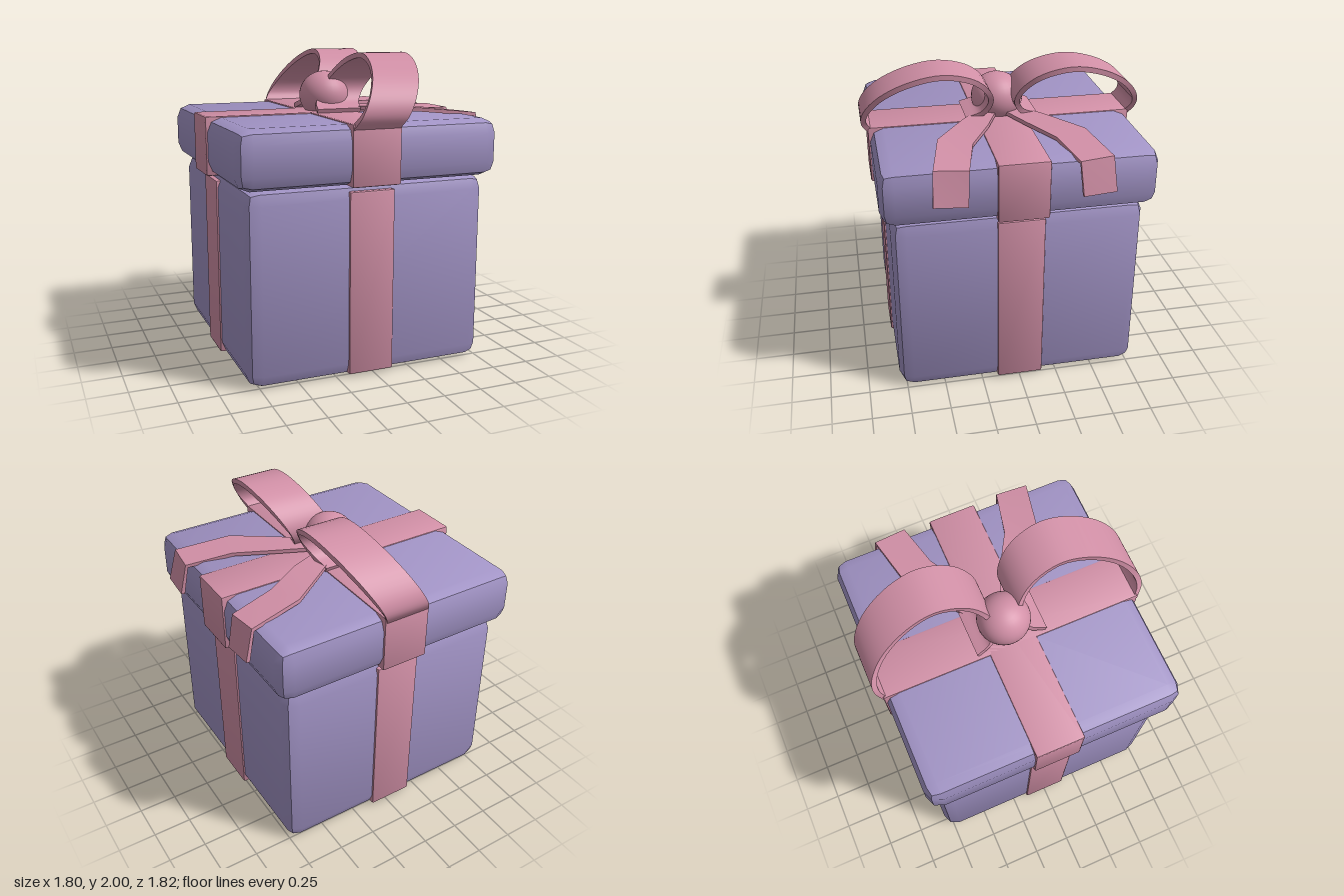
import * as THREE from 'three';
import { RoundedBoxGeometry } from 'three/addons/geometries/RoundedBoxGeometry.js';
import { toCreasedNormals } from 'three/addons/utils/BufferGeometryUtils.js';

const CX = -0.03; // centre of the box in x

// Solid strip through pairs of edge points [left, right]
function strip(pairs, thickness) {
  const pos = [], idx = [];
  const mid = pairs.map(([l, r]) => l.clone().add(r).multiplyScalar(0.5));
  const last = pairs.length - 1;
  pairs.forEach(([l, r], i) => {
    const t = mid[Math.min(i + 1, last)].clone().sub(mid[Math.max(i - 1, 0)]);
    const n = t.cross(r.clone().sub(l)).normalize().multiplyScalar(thickness / 2);
    const ring = [l.clone().add(n), r.clone().add(n), r.clone().sub(n), l.clone().sub(n)];
    ring.forEach((p) => pos.push(p.x, p.y, p.z));
    if (i === last) return;
    for (let k = 0; k < 4; k++) {
      const a = i * 4 + k, b = i * 4 + (k + 1) % 4;
      idx.push(a, a + 4, b + 4, a, b + 4, b);
    }
  });
  const e = last * 4;
  idx.push(0, 1, 2, 0, 2, 3, e, e + 2, e + 1, e, e + 3, e + 2);
  const g = new THREE.BufferGeometry();
  g.setAttribute('position', new THREE.Float32BufferAttribute(pos, 3));
  g.setIndex(idx);
  return toCreasedNormals(g, 0.6);
}

export function createModel() {
  const group = new THREE.Group();
  group.name = 'giftBox';
  const purple = new THREE.MeshStandardMaterial({ color: 0xa294c6 });
  purple.name = 'purplePaper';
  const pink = new THREE.MeshStandardMaterial({ color: 0xd290a7 });
  pink.name = 'pinkRibbon';

  const add = (name, geometry, material) => {
    const mesh = new THREE.Mesh(geometry, material);
    mesh.name = name;
    group.add(mesh);
    return mesh;
  };
  const block = (name, w, y0, y1, d, radius, material) => {
    const g = toCreasedNormals(new RoundedBoxGeometry(w, y1 - y0, d, 1, radius), 0.6);
    add(name, g, material).position.set(CX, (y0 + y1) / 2, 0);
  };

  // Box and lid
  block('boxBody', 1.59, 0, 1.235, 1.59, 0.09, purple);
  block('lid', 1.71, 1.23, 1.597, 1.71, 0.09, purple);

  // Crossed ribbon bands on the box and the lid
  block('bodyRibbonAcross', 1.615, 0.02, 1.19, 0.3, 0.012, pink);
  block('bodyRibbonFrontBack', 0.3, 0.02, 1.19, 1.615, 0.012, pink);
  block('lidRibbonAcross', 1.735, 1.225, 1.605, 0.32, 0.012, pink);
  block('lidRibbonFrontBack', 0.32, 1.225, 1.605, 1.735, 0.012, pink);

  // Knot
  const knot = add('bowKnot', new THREE.SphereGeometry(0.17, 32, 20), pink);
  knot.position.set(CX, 1.705, 0);
  knot.scale.y = 0.95;

  // Loop profile as (z, y); the strip leans towards +x as it rises
  const profile = new THREE.CatmullRomCurve3([
    [0.23, 1.615], [0.13, 1.66], [0.085, 1.75], [0.11, 1.835], [0.21, 1.93],
    [0.4, 1.983], [0.6, 1.945], [0.78, 1.845], [0.875, 1.73], [0.89, 1.65], [0.85, 1.575],
  ].map(([z, y]) => new THREE.Vector3(0, y, z))).getPoints(44);

  // Tail edges: inner and outer
  const tail = [
    [[0.02, 1.625, 0], [-0.02, 1.625, 0.1]],
    [[0.31, 1.63, 0.12], [0.2, 1.63, 0.27]],
    [[0.55, 1.615, 0.26], [0.47, 1.627, 0.465]],
    [[0.845, 1.583, 0.33], [0.825, 1.593, 0.54]],
    [[0.885, 1.38, 0.345], [0.875, 1.39, 0.553]],
  ];

  for (const [side, s] of [['front', 1], ['back', -1]]) {
    const loop = profile.map((p) => {
      const x = -0.19 + 0.58 * (p.y - 1.575);
      return [new THREE.Vector3(x, p.y, s * p.z), new THREE.Vector3(x + 0.305, p.y, s * p.z)];
    });
    add(side + 'BowLoop', strip(loop, 0.034), pink);
    const edges = tail.map((pair) => pair.map(([x, y, z]) => new THREE.Vector3(x, y, s * z)));
    add(side + 'BowTail', strip(edges, 0.026), pink);
  }
  return group;
}
